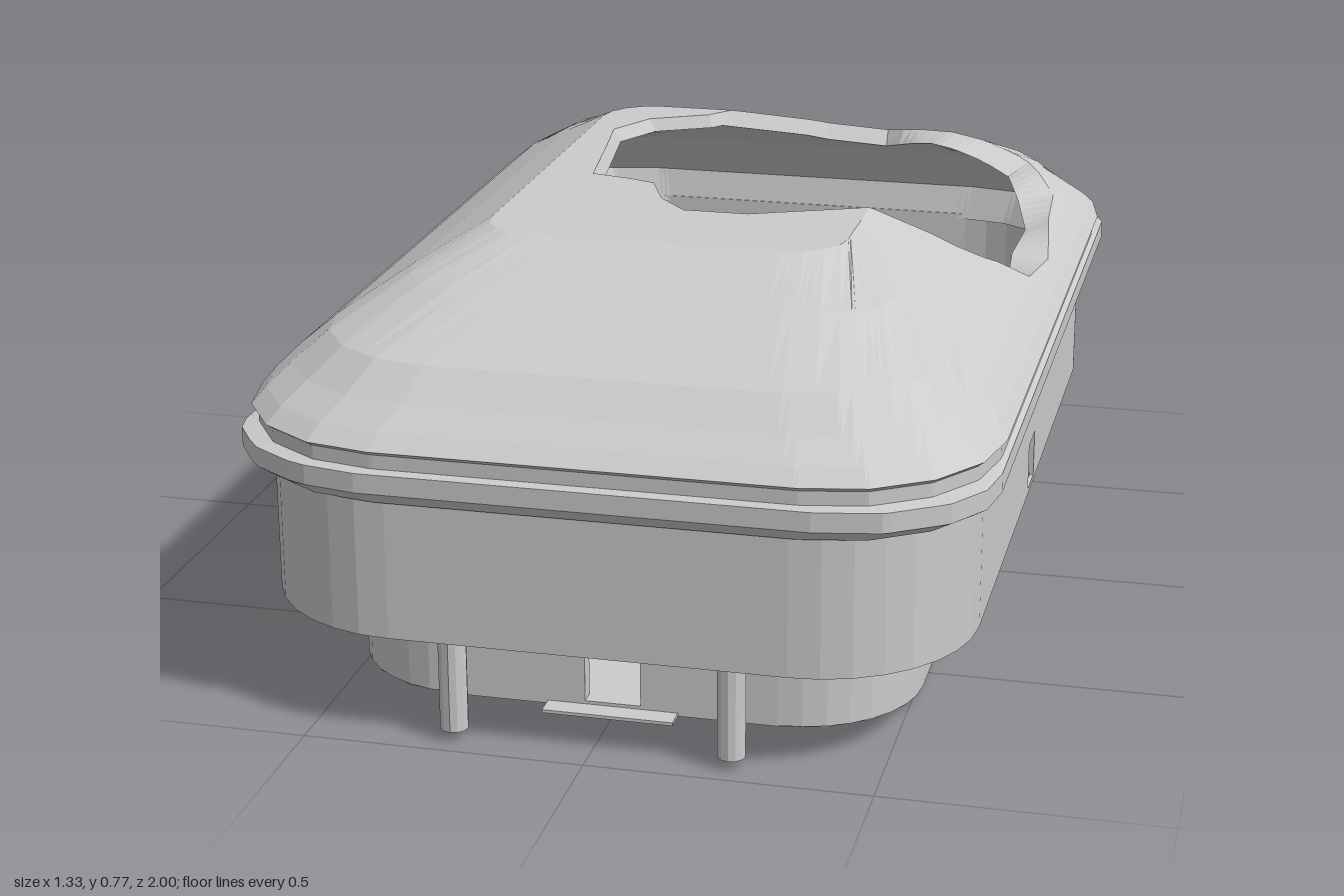
import * as THREE from 'three';

const mat = new THREE.MeshStandardMaterial({ color: 0xcccccc, flatShading: true, side: THREE.DoubleSide });

function add(parent, name, geo, x = 0, y = 0, z = 0) {
  const m = new THREE.Mesh(geo, mat);
  m.name = name;
  m.position.set(x, y, z);
  parent.add(m);
  return m;
}

// Rounded rectangle in plan, as points (x, z), never wider than the eaves
function ring(hw, hd, r) {
  const pts = [];
  for (let q = 0; q < 4; q++) {
    const sx = q === 0 || q === 3 ? 1 : -1, sz = q < 2 ? 1 : -1;
    for (let i = 0; i <= 4; i++) {
      const a = (q + i / 4) * Math.PI / 2;
      const x = sx * (hw - r) + r * Math.cos(a);
      pts.push(new THREE.Vector2(THREE.MathUtils.clamp(x, -0.665, 0.665), sz * (hd - r) + r * Math.sin(a)));
    }
  }
  return pts;
}

function rectPath(x0, y0, x1, y1) {
  return new THREE.Path([[x0, y0], [x1, y0], [x1, y1], [x0, y1]].map(p => new THREE.Vector2(...p)));
}

// Flat rounded slab; the holes are paths in (x, z)
function slab(hw, hd, r, y, h, holes = []) {
  const s = new THREE.Shape(ring(hw, hd, r));
  s.holes.push(...holes);
  return new THREE.ExtrudeGeometry(s, { depth: h, bevelEnabled: false, curveSegments: 12 })
    .rotateX(Math.PI / 2).translate(0, y + h, 0);
}

// Four straight walls with openings [centre, width, bottom, top], and four rounded corners
function walls(group, name, hw, hd, r, y0, y1, openings) {
  const t = 0.03;
  for (let k = 0; k < 4; k++) {
    const half = (k % 2 ? hd : hw) - r, dist = k % 2 ? hw : hd;
    const s = new THREE.Shape(rectPath(-half, y0, half, y1).getPoints());
    for (const [c, w, b, h] of openings[k]) s.holes.push(rectPath(c - w / 2, b, c + w / 2, h));
    add(group, name + 'Wall', new THREE.ExtrudeGeometry(s, { depth: t, bevelEnabled: false })
      .translate(0, 0, dist - t).rotateY(k * Math.PI / 2));
    const a = k * Math.PI / 2;
    const c = new THREE.Shape();
    c.absarc(0, 0, r, a, a + Math.PI / 2, false);
    c.absarc(0, 0, r - t, a + Math.PI / 2, a, true);
    const sx = k === 0 || k === 3 ? 1 : -1, sz = k < 2 ? 1 : -1;
    add(group, name + 'Corner', new THREE.ExtrudeGeometry(c, { depth: y1 - y0, bevelEnabled: false, curveSegments: 4 })
      .rotateX(Math.PI / 2), sx * (hw - r), y1, sz * (hd - r));
  }
}

// Distance from c to a polygon along direction d
function reach(poly, c, d) {
  let best = 0;
  poly.forEach((p, i) => {
    const q = poly[(i + 1) % poly.length], e = q.clone().sub(p), w = p.clone().sub(c);
    const den = d.cross(e);
    if (Math.abs(den) < 1e-9) return;
    const t = w.cross(e) / den, u = w.cross(d) / den;
    if (u > -1e-6 && u < 1 + 1e-6) best = Math.max(best, t);
  });
  return best;
}

// Domed roof shell with a ragged hole: rays from the hole's centre cross every contour
function roofGeometry() {
  const c = new THREE.Vector2(0.2, -0.2);
  const hole = [[0.2, -0.77], [0.36, -0.7], [0.52, -0.65], [0.585, -0.56], [0.595, -0.4], [0.62, -0.2],
    [0.605, -0.03], [0.53, 0.06], [0.48, 0.1], [0.3, 0.19], [0.12, 0.27], [0, 0.27], [-0.06, 0.2], [-0.1, 0.1],
    [-0.15, 0.08], [-0.23, 0.06], [-0.26, -0.15], [-0.28, -0.28], [-0.23, -0.38], [-0.12, -0.44],
    [0, -0.6], [0.08, -0.71]].map(p => new THREE.Vector2(...p));
  const torn = hole.map((p, i) => {
    const k = p.x > 0.3 && p.y < 0.08 ? (i % 2 ? 0.83 : 0.89) : 0.97;
    return p.clone().sub(c).multiplyScalar(k).add(c);
  });
  // half width, half depth, corner radius, height
  const outer = [[0.655, 0.985, 0.29, 0.44], [0.69, 1, 0.3, 0.46], [0.69, 1, 0.3, 0.495], [0.655, 0.985, 0.29, 0.5],
    [0.655, 0.985, 0.29, 0.525], [0.665, 1, 0.3, 0.535], [0.645, 0.97, 0.29, 0.56], [0.61, 0.92, 0.28, 0.595],
    [0.55, 0.86, 0.24, 0.645], [0.44, 0.68, 0.17, 0.715], [0.33, 0.49, 0.1, 0.775]];
  const inner = [[0.61, 0.95, 0.28, 0.44]].concat(outer.slice(5).map(([w, d, r, y]) => [w - 0.035, d - 0.035, r - 0.03, y - 0.025]));
  const contours = list => list.map(([w, d, r, y]) => ({ poly: ring(w, d, r), y }));
  const out = contours(outer), inn = contours(inner);

  const angles = [];
  for (let i = 0; i < 96; i++) angles.push(-Math.PI + i * Math.PI / 48);
  for (const poly of [hole, ...out.slice(5).map(o => o.poly)])
    for (const p of poly) angles.push(Math.atan2(p.y - c.y, p.x - c.x));
  angles.sort((a, b) => a - b);

  // One side of the shell along a ray, cut off at the hole
  const cut = (list, edge, d) => {
    const h = reach(edge, c, d);
    const row = list.map(o => [reach(o.poly, c, d), o.y]);
    let end = [h, row[row.length - 1][1]];
    for (let i = 1; i < row.length; i++) {
      const [r0, a] = row[i - 1], [r1, b] = row[i];
      if (r0 >= h && r1 < h) end = [h, a + (b - a) * (r0 - h) / (r0 - r1)];
    }
    return row.map(p => (p[0] < h ? end : p)).concat([end]);
  };
  const pos = [], idx = [];
  const n = angles.length, m = out.length + inn.length + 2;
  for (const a of angles) {
    const d = new THREE.Vector2(Math.cos(a), Math.sin(a));
    const loop = cut(out, hole, d).concat(cut(inn, torn, d).reverse());
    for (const [r, y] of loop) pos.push(c.x + d.x * r, y, c.y + d.y * r);
  }
  for (let i = 0; i < n; i++) for (let j = 0; j < m; j++) {
    const i2 = (i + 1) % n, j2 = (j + 1) % m;
    const A = i * m + j, B = i2 * m + j, C = i2 * m + j2, D = i * m + j2;
    idx.push(A, D, B, B, D, C);
  }
  const g = new THREE.BufferGeometry();
  g.setAttribute('position', new THREE.Float32BufferAttribute(pos, 3));
  g.setIndex(idx);
  g.computeVertexNormals();
  return g;
}

export function createModel() {
  const model = new THREE.Group();
  model.name = 'building';

  add(model, 'roof', roofGeometry());

  // Upper storey: front, +x, back, -x
  walls(model, 'upper', 0.627, 0.98, 0.28, 0.19, 0.45, [
    [], [[-0.02, 0.08, 0.2, 0.29]], [[0.2, 0.08, 0.2, 0.29]],
    [[-0.05, 0.1, 0.2, 0.29], [0.39, 0.08, 0.2, 0.29], [0.69, 0.08, 0.2, 0.29]]]);
  const well = new THREE.Path();
  well.absarc(0, 0.19, 0.15, 0, Math.PI * 2, true);
  add(model, 'upperFloor', slab(0.62, 0.975, 0.275, 0.19, 0.015, [
    rectPath(0.085, -0.685, 0.175, -0.2), rectPath(-0.175, -0.4, -0.085, -0.2), well]));
  add(model, 'shutter', new THREE.BoxGeometry(0.025, 0.11, 0.015), -0.638, 0.25, 0.34);

  // Lower storey
  walls(model, 'lower', 0.515, 0.805, 0.22, 0.015, 0.19, [
    [[0, 0.1, 0.025, 0.125]], [[0.21, 0.1, 0.025, 0.12]], [], []]);
  add(model, 'lowerFloor', slab(0.513, 0.803, 0.218, 0.012, 0.012));

  // Stairs down through the floor slots
  for (const [x, z0, n] of [[0.13, -0.68, 17], [-0.13, -0.4, 6]]) {
    const run = (-0.2 - z0) / n;
    for (let i = 0; i < n; i++) {
      const top = 0.2 - 0.17 * i / n;
      add(model, 'stair', new THREE.BoxGeometry(0.088, top - 0.02, run), x, (top + 0.02) / 2, z0 + run * (i + 0.5));
    }
  }

  // Pedestal under the round floor opening
  const profile = [[0, 0.024], [0.07, 0.024], [0.07, 0.032], [0.03, 0.04], [0.03, 0.05], [0.022, 0.055],
    [0.032, 0.062], [0.028, 0.075], [0.01, 0.092], [0, 0.092]].map(p => new THREE.Vector2(...p));
  add(model, 'pedestal', new THREE.LatheGeometry(profile, 20), 0, 0, 0.19);

  // Front posts, doorstep and underside hatches
  for (const s of [-1, 1]) {
    add(model, 'post', new THREE.CylinderGeometry(0.025, 0.025, 0.175, 12), s * 0.245, 0.107, 0.945);
    add(model, 'hatch', new THREE.BoxGeometry(0.095, 0.006, 0.09), s * 0.128, 0.008, -0.245).rotation.x = -0.11;
  }
  add(model, 'doorstep', new THREE.BoxGeometry(0.235, 0.006, 0.05), 0, 0.016, 0.82);
  return model;
}
